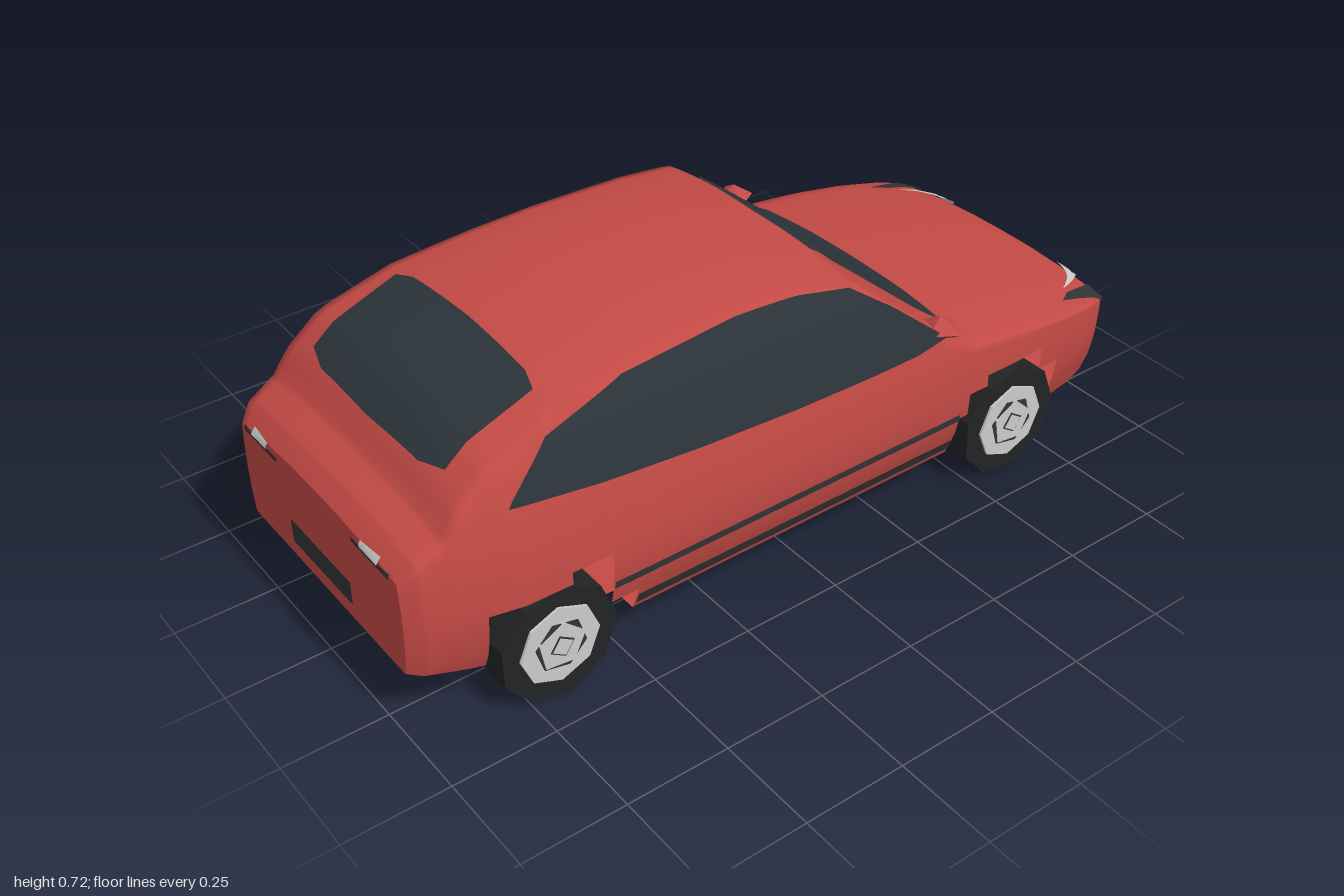
import * as THREE from 'three';

const mat = (color) => new THREE.MeshStandardMaterial({ color, side: THREE.DoubleSide });
const RED = mat(0xc44a45), GLASS = mat(0x2c343a), DARK = mat(0x333436);
const TYRE = mat(0x222324), GREY = mat(0xcccccc);

// Linear interpolation through [position, value] pairs
function lerpTable(table, x) {
  if (x <= table[0][0]) return table[0][1];
  for (let i = 1; i < table.length; i++) {
    const [x0, v0] = table[i - 1], [x1, v1] = table[i];
    if (x <= x1) return v0 + (v1 - v0) * (x - x0) / (x1 - x0);
  }
  return table[table.length - 1][1];
}

// Body rules: roof line, underside line, plan half width and side profile
const TOP = [[-0.99, 0.43], [-0.96, 0.465], [-0.89, 0.5], [-0.85, 0.56], [-0.78, 0.62], [-0.6, 0.69], [-0.4, 0.713],
  [-0.24, 0.72], [0, 0.708], [0.16, 0.68], [0.28, 0.58], [0.4, 0.48], [0.47, 0.435], [0.65, 0.41], [0.8, 0.385],
  [0.92, 0.362], [0.97, 0.345], [0.99, 0.315]];
const BOTTOM = [[-0.99, 0.165], [-0.83, 0.13], [-0.54, 0.1], [0.76, 0.1], [0.92, 0.105], [0.96, 0.115], [0.99, 0.14]];
const WIDTH = [[-0.99, 0.34], [-0.96, 0.365], [-0.87, 0.39], [-0.75, 0.415], [-0.5, 0.42], [0.6, 0.42], [0.76, 0.41],
  [0.88, 0.39], [0.94, 0.37], [0.975, 0.345], [0.99, 0.31]];
const PROFILE = [[0.1, 0.9], [0.17, 0.965], [0.22, 0.99], [0.28, 1], [0.34, 0.995], [0.4, 0.98], [0.45, 0.955],
  [0.52, 0.915], [0.6, 0.86], [0.66, 0.795], [0.7, 0.73]];
const topAt = (x) => lerpTable(TOP, x);
const bottomAt = (x) => lerpTable(BOTTOM, x);
const edgeAt = (x) => topAt(x) - 0.028;
const sideZ = (x, y) => lerpTable(WIDTH, x) * lerpTable(PROFILE, y);
const crownY = (x, z) => topAt(x) - 0.028 * Math.min(1, Math.abs(z) / sideZ(x, edgeAt(x))) ** 2.5;
const inside = (x, y, z) => y >= bottomAt(x) && y <= crownY(x, z) && Math.abs(z) <= sideZ(x, Math.min(y, edgeAt(x)));

// Furthest point of the body along x, towards the nose (dir 1) or tail (dir -1)
function endX(y, z, dir) {
  let a = 0.4, b = 0.99;
  if (inside(b * dir, y, z)) return b * dir;
  for (let i = 0; i < 30; i++) {
    const m = (a + b) / 2;
    if (inside(m * dir, y, z)) a = m; else b = m;
  }
  return a * dir;
}

function geometry(points, index) {
  const g = new THREE.BufferGeometry();
  g.setAttribute('position', new THREE.Float32BufferAttribute(points.flat(), 3));
  g.setIndex(index);
  g.computeVertexNormals();
  return g;
}

// Stepped wheel openings: [from x, to x, opening height]
const ARCHES = [[-0.83, -0.64, 0.28], [-0.64, -0.54, 0.31], [-0.54, -0.47, 0.17],
  [0.44, 0.465, 0.22], [0.465, 0.52, 0.28], [0.52, 0.7, 0.31], [0.7, 0.765, 0.25]];
const archTop = (x) => (ARCHES.find(([a, b]) => x > a && x < b) || [0, 0, 0])[2];

function stations() {
  const xs = [...TOP, ...WIDTH, ...BOTTOM].map((p) => p[0]);
  ARCHES.forEach(([a, b]) => xs.push(a, b));
  for (let x = -0.95; x < 0.97; x += 0.05) xs.push(x);
  xs.sort((a, b) => a - b);
  return xs.filter((x, i) => i === 0 || x - xs[i - 1] > 1e-4);
}

// Half section from sill to roof centre
const ROWS = [0, 0.17, 0.22, 0.25, 0.28, 0.31];
function halfSection(x) {
  const ye = edgeAt(x), yb = bottomAt(x);
  const ys = ROWS.map((y) => Math.min(Math.max(y, yb), ye));
  const base = ys[5];
  for (const f of [0.2, 0.4, 0.6, 0.8, 1]) ys.push(base + (ye - base) * f);
  const half = ys.map((y) => [x, y, sideZ(x, y)]);
  const r = sideZ(x, ye);
  for (const f of [0.93, 0.82, 0.6, 0.3, 0]) half.push([x, crownY(x, r * f), r * f]);
  return half;
}

function addBody(car) {
  const add = (name, g) => { const m = new THREE.Mesh(g, RED); m.name = name; car.add(m); };
  const xs = stations(), halves = xs.map(halfSection);
  const mirror = ([x, y, z]) => [x, y, -z];
  const n = halves[0].length, ring = 2 * n - 1;
  const points = halves.flatMap((h) => [...h, ...h.slice(0, -1).reverse().map(mirror)]);
  const index = [];
  for (let i = 0; i < xs.length - 1; i++) {
    const open = archTop((xs[i] + xs[i + 1]) / 2);
    for (let j = 0; j < ring - 1; j++) {
      const row = Math.min(j, ring - 2 - j);
      if (row < 5 && ROWS[row + 1] <= open) continue;
      const a = i * ring + j, b = a + ring;
      index.push(a, b, b + 1, a, b + 1, a + 1);
    }
  }
  add('bodyShell', geometry(points, index));

  // Floor, notched around the wheels
  const floor = [], floorIndex = [];
  xs.forEach((x) => {
    const y = bottomAt(x), w = sideZ(x, y), inner = Math.min(0.31, w * 0.9);
    [-w, -inner, inner, w].forEach((z) => floor.push([x, y, z]));
  });
  for (let i = 0; i < xs.length - 1; i++) {
    for (let j = 0; j < 3; j++) {
      if (j !== 1 && archTop((xs[i] + xs[i + 1]) / 2)) continue;
      const a = i * 4 + j, b = a + 4;
      floorIndex.push(a, b, b + 1, a, b + 1, a + 1);
    }
  }
  add('floor', geometry(floor, floorIndex));

  // Closing faces at nose and tail
  for (const [name, half, flip] of [['nose', halves[halves.length - 1], false], ['tail', halves[0], true]]) {
    const idx = [];
    for (let i = 0; i < n - 1; i++) {
      const a = 2 * i, quad = [a, a + 1, a + 3, a, a + 3, a + 2];
      idx.push(...(flip ? quad.reverse() : quad));
    }
    add(name, geometry(half.flatMap((p) => [p, mirror(p)]), idx));
  }
}

// Panel lying on the body, filling the space between two outlines
function addPanel(car, name, material, lower, upper, project, nu = 24, nv = 8) {
  const at = (line, t) => {
    const f = t * (line.length - 1), i = Math.min(Math.floor(f), line.length - 2), k = f - i;
    return [0, 1].map((c) => line[i][c] + (line[i + 1][c] - line[i][c]) * k);
  };
  const points = [], index = [];
  for (let i = 0; i <= nu; i++) {
    const a = at(lower, i / nu), b = at(upper, i / nu);
    for (let j = 0; j <= nv; j++) {
      points.push(project(a[0] + (b[0] - a[0]) * j / nv, a[1] + (b[1] - a[1]) * j / nv));
      if (i < nu && j < nv) {
        const p = i * (nv + 1) + j, q = p + nv + 1;
        index.push(p, q, q + 1, p, q + 1, p + 1);
      }
    }
  }
  const mesh = new THREE.Mesh(geometry(points, index), material);
  mesh.name = name;
  car.add(mesh);
}
const onTop = (z, x) => [x, crownY(x, z) + 0.007, z];
const onEnd = (dir, lift = 0.005) => (z, y) => [endX(y, z, dir) + dir * lift, y + 0.002, z];
const onSide = (s) => (x, y) => {
  const v = Math.min(y, edgeAt(x));
  return [x, v, s * (sideZ(x, v) + 0.005)];
};
const box = (z0, z1, y0, y1) => [[[z0, y0], [z1, y0]], [[z0, y1], [z1, y1]]];

function addWheel(car, name, x, s) {
  const wheel = new THREE.Group();
  wheel.name = name;
  const disc = (part, r, depth, z, sides, material, turn = 0) => {
    const g = new THREE.CylinderGeometry(r, r, depth, sides).toNonIndexed();
    g.rotateY(turn).rotateX(Math.PI / 2);
    g.computeVertexNormals();
    const m = new THREE.Mesh(g, material);
    m.name = part;
    m.position.z = z;
    wheel.add(m);
  };
  disc('tyre', 0.145, 0.08, 0, 9, TYRE, 0.2);
  disc('rim', 0.098, 0.092, 0, 8, GREY);
  disc('rimRing', 0.064, 0.098, 0, 6, DARK, 0.3);
  disc('rimCentre', 0.06, 0.102, 0, 5, GREY, 0.5);
  disc('hub', 0.03, 0.106, 0, 4, DARK, 0.2);
  disc('hubCap', 0.025, 0.11, 0, 4, GREY, 0.2);
  disc('brakeDisc', 0.07, 0.012, -0.056, 7, TYRE);
  wheel.position.set(x, 0.141, 0.375);
  wheel.scale.z = 1;
  if (s < 0) { wheel.rotation.y = Math.PI; wheel.position.z *= -1; }
  car.add(wheel);
}

export function createModel() {
  const car = new THREE.Group();
  car.name = 'car';
  addBody(car);

  // Windscreen and rear window
  addPanel(car, 'windscreen', GLASS, [[-0.315, 0.45], [-0.16, 0.467], [0, 0.47], [0.16, 0.467], [0.315, 0.45]],
    [[-0.24, 0.175], [-0.2, 0.15], [0, 0.145], [0.2, 0.15], [0.24, 0.175]], onTop);
  addPanel(car, 'rearWindow', GLASS, [[-0.27, -0.83], [-0.2, -0.85], [0, -0.855], [0.2, -0.85], [0.27, -0.83]],
    [[-0.27, -0.62], [-0.22, -0.605], [0, -0.6], [0.22, -0.605], [0.27, -0.62]], onTop);

  for (const s of [1, -1]) {
    // Side glass and sill strips
    addPanel(car, 'sideWindow', GLASS, [[-0.76, 0.51], [-0.55, 0.485], [-0.3, 0.465], [-0.05, 0.452], [0.18, 0.447], [0.3, 0.448], [0.385, 0.46]],
      [[-0.75, 0.525], [-0.65, 0.62], [-0.45, 0.672], [-0.1, 0.69], [0.12, 0.67], [0.24, 0.585], [0.39, 0.465]], onSide(s), 36);
    addPanel(car, 'sideMoulding', DARK, ...box(-0.54, 0.435, 0.217, 0.236), onSide(s), 24, 2);
    addPanel(car, 'sillStrip', DARK, ...box(-0.47, 0.435, 0.122, 0.155), onSide(s), 24, 2);

    // Mirror
    const mirror = new THREE.Mesh(new THREE.OctahedronGeometry(1, 0), RED);
    mirror.name = 'mirror';
    mirror.scale.set(0.05, 0.034, 0.056);
    mirror.rotation.y = s * 0.3;
    mirror.position.set(0.39, 0.472, s * 0.377);
    car.add(mirror);

    // Head and tail lights
    addPanel(car, 'headlight', GREY, [[s * 0.19, 0.328], [s * 0.235, 0.312], [s * 0.25, 0.33]],
      [[s * 0.185, 0.338], [s * 0.24, 0.343], [s * 0.31, 0.357]], onEnd(1, 0.008), 12, 4);
    addPanel(car, 'headlightSurround', DARK, [[s * 0.29, 0.315], [s * 0.37, 0.31]],
      [[s * 0.325, 0.355], [s * 0.35, 0.36]], onEnd(1, 0.006), 10, 4);
    addPanel(car, 'tailLight', DARK, ...box(s * 0.16, s * 0.31, 0.4, 0.412), onEnd(-1), 8, 2);
    addPanel(car, 'tailLamp', GREY, ...box(s * 0.2, s * 0.27, 0.412, 0.428), onEnd(-1, 0.008), 8, 2);

    addWheel(car, 'rearWheel', -0.68, s);
    addWheel(car, 'frontWheel', 0.61, s);
  }

  // Nose openings
  addPanel(car, 'upperGrille', DARK, ...box(-0.15, 0.15, 0.3, 0.335), onEnd(1), 12, 4);
  addPanel(car, 'middleGrille', DARK, ...box(-0.135, 0.135, 0.256, 0.282), onEnd(1), 12, 2);
  addPanel(car, 'lowerGrille', DARK, [[-0.25, 0.187], [-0.215, 0.145], [0, 0.142], [0.215, 0.145], [0.25, 0.187]],
    [[-0.25, 0.193], [-0.2, 0.24], [0, 0.25], [0.2, 0.24], [0.25, 0.193]], onEnd(1));
  for (const y of [0.176, 0.209]) addPanel(car, 'grilleBar', GREY, ...box(-0.225, 0.225, y, y + 0.005), onEnd(1, 0.008), 12, 1);
  addPanel(car, 'frontLip', DARK, ...box(-0.28, 0.28, 0.108, 0.13), onEnd(1), 16, 3);

  // Tail recess
  addPanel(car, 'tailRecess', DARK, ...box(-0.13, 0.13, 0.21, 0.27), onEnd(-1), 8, 3);
  return car;
}
